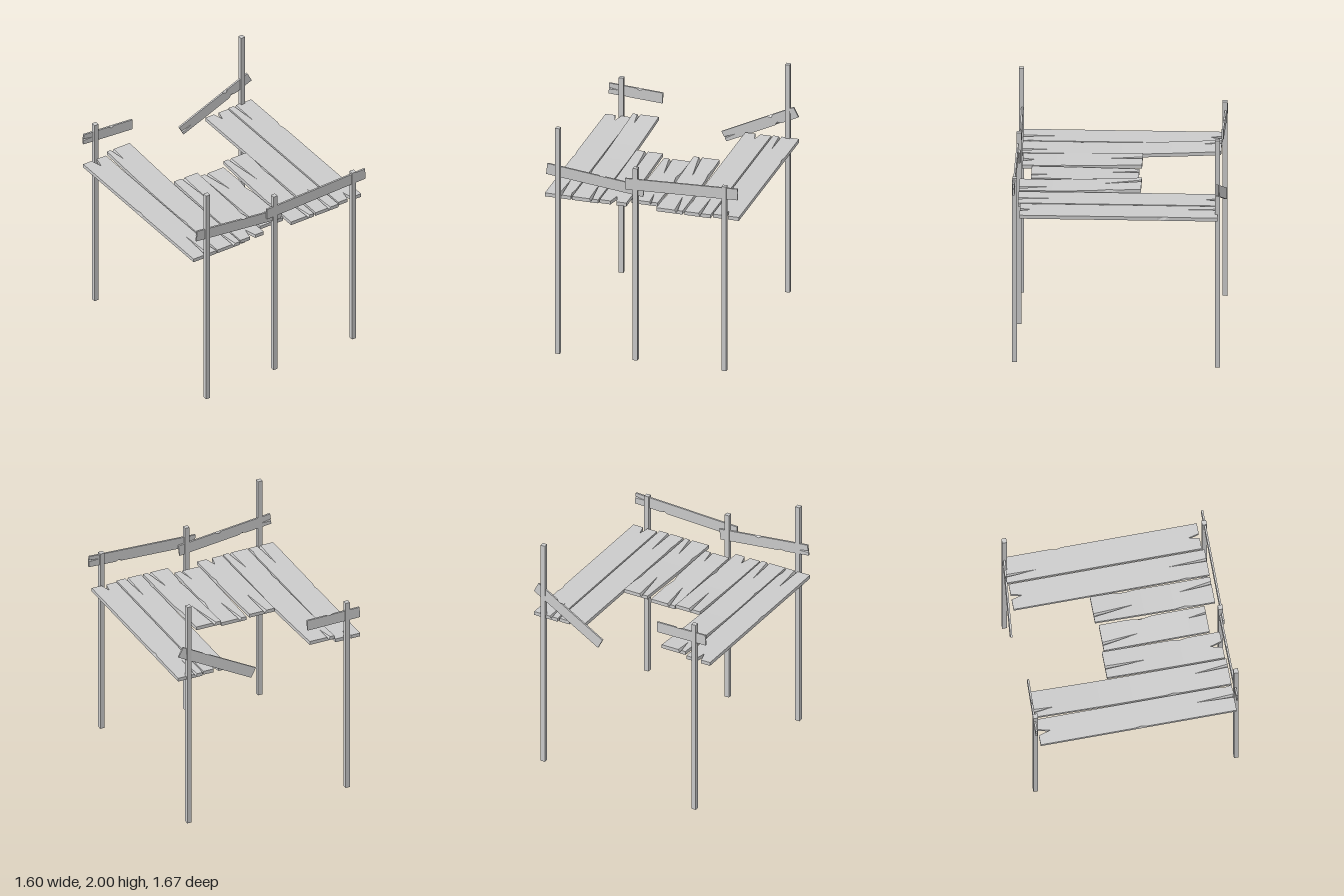
import * as THREE from 'three';

const material = new THREE.MeshStandardMaterial({ color: 0xcccccc, flatShading: true });

// Board running along z. back/front: end split [x, length, half width, cutsThrough].
// chips: [side, z, half length, depth] nicks in the top edges. lift bends the back end from liftFrom.
function boardGeometry({ x0, x1, z0, z1, thick, back, front, chips = [], lift = 0, liftFrom = 0 }) {
  const mid = (x0 + x1) / 2;
  const b = back || [front ? front[0] : mid, 0.01, 0, false];
  const f = front || [b[0], 0.01, 0, false];
  const zs = [z0 + b[1], z1 - f[1]];
  for (let i = 0; i <= 12; i++) zs.push(z0 + (z1 - z0) * i / 12);
  chips.forEach(([, z, half]) => zs.push(z - half, z, z + half));
  const rowsZ = [...new Set(zs)].filter(z => z >= z0 && z <= z1).sort((p, q) => p - q);

  const rows = rowsZ.map(z => {
    const t = (z - z0) / (z1 - z0);
    const [, len, width, through] = t < 0.5 ? b : f;
    const open = Math.max(0, 1 - (t < 0.5 ? z - z0 : z1 - z) / len);
    const w = open * width;
    const c = b[0] + (f[0] - b[0]) * t;
    const bend = z < liftFrom ? lift * ((liftFrom - z) / (liftFrom - z0)) ** 1.3 : 0;
    const yb = bend, yt = bend + thick;
    const floor = through ? yb : yt - thick * 0.75 * Math.min(1, open * 2);
    const g = through ? w : 0;
    const nick = side => chips.reduce((sum, [s, cz, half, d]) =>
      s === side ? sum + d * Math.max(0, 1 - Math.abs(z - cz) / half) : sum, 0);
    const pts = [
      [x0, yb], [x0 + nick(-1), yt], [c - w, yt], [c - g, floor], [c + g, floor],
      [c + w, yt], [x1 - nick(1), yt], [x1, yb], [c + g, yb], [c - g, yb],
    ].map(([x, y]) => [x, y, z]);
    return { pts, w };
  });

  const pos = [];
  const tri = (p, q, r) => pos.push(...p, ...q, ...r);
  const sides = [[0, 1], [1, 2], [2, 3], [4, 5], [5, 6], [6, 7], [7, 8], [9, 0]];
  for (let k = 0; k + 1 < rows.length; k++) {
    const A = rows[k], B = rows[k + 1];
    for (const [i, j] of sides) {
      const splitWall = i === 2 || i === 4;
      if (splitWall && A.w === 0 && B.w === 0) continue;
      tri(A.pts[i], B.pts[i], B.pts[j]);
      tri(A.pts[i], B.pts[j], A.pts[j]);
    }
  }
  // End caps, one on each side of the split
  const first = rows[0].pts, last = rows[rows.length - 1].pts;
  for (const loop of [[0, 1, 2, 3, 9], [8, 4, 5, 6, 7]]) {
    for (let i = 1; i < 4; i++) {
      tri(first[loop[0]], first[loop[i]], first[loop[i + 1]]);
      tri(last[loop[0]], last[loop[i + 1]], last[loop[i]]);
    }
  }
  const geo = new THREE.BufferGeometry();
  geo.setAttribute('position', new THREE.Float32BufferAttribute(pos, 3));
  geo.computeVertexNormals();
  return geo;
}

function addMesh(parent, name, geometry) {
  const mesh = new THREE.Mesh(geometry, material);
  mesh.name = name;
  parent.add(mesh);
  return mesh;
}

// Rail from a to b, its worn face turned toward the platform
function addRail(parent, name, a, b, height, facing, wear) {
  const start = new THREE.Vector3(...a), end = new THREE.Vector3(...b);
  const along = end.clone().sub(start);
  const length = along.length();
  along.normalize();
  const normal = new THREE.Vector3(0, 0, facing);
  normal.addScaledVector(along, -normal.dot(along)).normalize();
  const across = normal.clone().cross(along);
  const thick = 0.015;
  const geo = boardGeometry({
    x0: -height / 2, x1: height / 2, z0: -length / 2, z1: length / 2, thick, ...wear,
  });
  geo.translate(0, -thick / 2, 0);
  const centre = start.add(end).multiplyScalar(0.5);
  geo.applyMatrix4(new THREE.Matrix4().makeBasis(across, normal, along).setPosition(centre));
  addMesh(parent, name, geo);
}

export function createModel() {
  const model = new THREE.Group();
  model.name = 'ruinedPlatform';

  // Posts: name, x, z, bottom, top
  const posts = new THREE.Group();
  posts.name = 'posts';
  model.add(posts);
  [
    ['frontRightPost', -0.69, 0.81, 0, 1.95],
    ['frontMiddlePost', -0.05, 0.806, 0.03, 1.69],
    ['frontLeftPost', 0.688, 0.815, 0.045, 1.64],
    ['backRightPost', -0.678, -0.795, 0.005, 1.69],
    ['backLeftPost', 0.702, -0.785, 0.03, 2],
  ].forEach(([name, x, z, y0, y1]) => {
    addMesh(posts, name, new THREE.BoxGeometry(0.038, y1 - y0, 0.038)).position.set(x, (y0 + y1) / 2, z);
  });

  // Floor planks, with the middle three broken short
  const floor = new THREE.Group();
  floor.name = 'floor';
  model.add(floor);
  [
    { x0: -0.805, x1: -0.59, z0: -0.775, z1: 0.795, back: [-0.7, 0.095, 0.025, true], front: [-0.68, 0.3, 0.014, false],
      chips: [[-1, 0.03, 0.05, 0.008], [1, 0.73, 0.06, 0.01]] },
    { x0: -0.58, x1: -0.365, z0: -0.775, z1: 0.795, back: [-0.53, 0.15, 0.014, false], front: [-0.425, 0.28, 0.013, false],
      chips: [[-1, 0.33, 0.06, 0.008]], lift: 0.034, liftFrom: 0 },
    { x0: -0.355, x1: -0.135, z0: -0.16, z1: 0.785, back: [-0.27, 0.33, 0.014, false], front: [-0.24, 0.1, 0.025, true],
      chips: [[1, 0.46, 0.06, 0.01]], lift: 0.017, liftFrom: 0.5 },
    { x0: -0.118, x1: 0.1, z0: -0.14, z1: 0.785, back: [-0.062, 0.29, 0.014, false], front: [0.05, 0.23, 0.013, false],
      chips: [[1, 0.19, 0.1, 0.015]], lift: -0.01, liftFrom: 0.6 },
    { x0: 0.117, x1: 0.333, z0: -0.167, z1: 0.795, back: [0.175, 0.33, 0.014, false], front: [0.28, 0.26, 0.014, false],
      chips: [[1, 0.1, 0.1, 0.01], [-1, 0.55, 0.08, 0.01]], lift: 0.025, liftFrom: 0.5 },
    { x0: 0.35, x1: 0.565, z0: -0.775, z1: 0.795, back: [0.455, 0.09, 0.022, true], front: [0.477, 0.31, 0.012, false],
      chips: [[-1, 0.6, 0.06, 0.006]] },
    { x0: 0.577, x1: 0.792, z0: -0.785, z1: 0.775, back: [0.637, 0.25, 0.011, false], front: [0.685, 0.09, 0.02, true],
      chips: [[1, -0.36, 0.05, 0.01]] },
  ].forEach((plank, i) => {
    addMesh(floor, `plank${i + 1}`, boardGeometry({ thick: 0.03, ...plank })).position.y = 1.333;
  });

  // Crooked guard rails, front pair and loose back pair
  const rails = new THREE.Group();
  rails.name = 'rails';
  model.add(rails);
  addRail(rails, 'frontRightRail', [-0.785, 1.582, 0.803], [0.017, 1.493, 0.803], 0.092, -1,
    { back: [0.01, 0.1, 0.008, false], chips: [[-1, 0.05, 0.03, 0.015], [1, -0.15, 0.03, 0.012]] });
  addRail(rails, 'frontLeftRail', [-0.13, 1.547, 0.817], [0.798, 1.583, 0.82], 0.095, -1,
    { front: [-0.01, 0.1, 0.008, false], chips: [[1, 0.2, 0.03, 0.012]] });
  addRail(rails, 'backRightRail', [-0.785, 1.578, -0.805], [-0.335, 1.56, -0.788], 0.09, 1,
    { back: [0, 0.08, 0.008, false], chips: [[1, 0.03, 0.03, 0.015], [-1, -0.1, 0.025, 0.012]] });
  addRail(rails, 'backLeftRail', [0.158, 1.28, -0.832], [0.77, 1.594, -0.782], 0.09, 1,
    { back: [-0.01, 0.1, 0.008, false], chips: [[-1, 0.15, 0.03, 0.02], [1, 0.12, 0.03, 0.02]] });

  return model;
}
